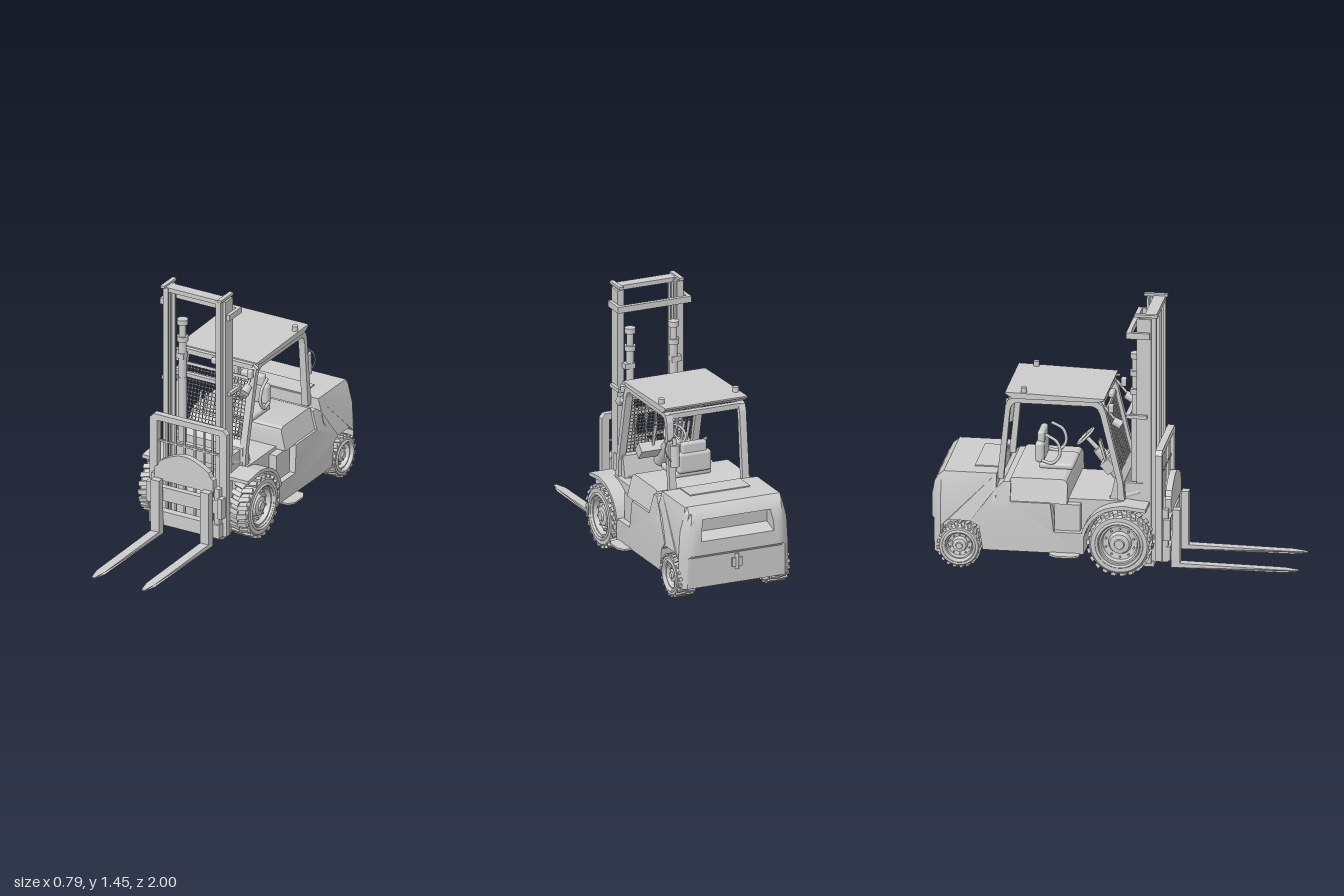
import * as THREE from 'three';
import { mergeGeometries, toCreasedNormals } from 'three/addons/utils/BufferGeometryUtils.js';
import { RoundedBoxGeometry } from 'three/addons/geometries/RoundedBoxGeometry.js';

const grey = new THREE.MeshStandardMaterial({ color: 0xcccccc });
const SIDES = [1, -1];

export function createModel() {
  const model = new THREE.Group();
  const add = (name, geo, parent = model) => {
    const m = new THREE.Mesh(geo, grey);
    m.name = name;
    parent.add(m);
    return m;
  };
  const boxGeo = (w, h, d, x, y, z) => new THREE.BoxGeometry(w, h, d).translate(x, y, z);
  const box = (name, w, h, d, x, y, z, parent) => add(name, boxGeo(w, h, d, x, y, z), parent);
  const soft = (name, w, h, d, x, y, z, r = 0.015) =>
    add(name, new RoundedBoxGeometry(w, h, d, 3, r).translate(x, y, z));
  // Cylinder between two points
  const rod = (name, a, b, r, r2 = r, seg = 20) => {
    const p = new THREE.Vector3(...a), q = new THREE.Vector3(...b), d = q.clone().sub(p);
    const m = add(name, new THREE.CylinderGeometry(r2, r, d.length(), seg));
    m.position.copy(p).add(q).multiplyScalar(0.5);
    m.quaternion.setFromUnitVectors(new THREE.Vector3(0, 1, 0), d.normalize());
    return m;
  };
  const tube = (name, pts, r, closed = false) => add(name, new THREE.TubeGeometry(
    new THREE.CatmullRomCurve3(pts.map((p) => new THREE.Vector3(...p)), closed), 32, r, 8, closed));
  const toShape = (pts) => new THREE.Shape(pts.map((p) => new THREE.Vector2(...p)));
  // Side profile of [z, y] points extruded from x0 to x1, with an optional vertex rule
  const profile = (name, pts, x0, x1, rule, steps = 1) => {
    const g = new THREE.ExtrudeGeometry(toShape(pts), { depth: x1 - x0, bevelEnabled: false, steps });
    g.rotateY(-Math.PI / 2).translate(x1, 0, 0);
    if (!rule) return add(name, g);
    const p = g.attributes.position, v = new THREE.Vector3();
    for (let i = 0; i < p.count; i++) {
      rule(v.fromBufferAttribute(p, i));
      p.setXYZ(i, v.x, v.y, v.z);
    }
    return add(name, toCreasedNormals(g, 0.5));
  };
  const bothSides = (name, pts, x0, x1, rule, steps) => {
    profile(name + 'Left', pts, x0, x1, rule, steps);
    profile(name + 'Right', pts, -x1, -x0, rule, steps);
  };
  // Body sides lean in above the waist, rear corners are rounded in plan
  const bodyRule = (v) => {
    const t = Math.max(0, Math.abs(v.x) - 0.25) / 0.075;
    v.z = Math.max(v.z, -1 + 0.055 * t * t);
    v.x *= 1 - 0.13 * THREE.MathUtils.clamp((v.y - 0.37) / 0.165, 0, 1);
  };

  // Wheels: lathed tyre and dished rim, staggered lugs, bolts
  const wheel = (name, s, x, y, z, R, w, lugs) => {
    const g = new THREE.Group();
    g.name = name;
    g.position.set(s * x, y, z);
    g.rotation.z = -s * Math.PI / 2;
    const h = w / 2;
    const pts = [[0, -h], [0.86 * R, -h], [0.94 * R, -h + 0.014], [0.94 * R, h - 0.014], [0.87 * R, h],
      [0.64 * R, h], [0.62 * R, h - 0.012], [0.57 * R, h - 0.012], [0.53 * R, h - 0.04], [0.36 * R, h - 0.045],
      [0.3 * R, h - 0.018], [0.16 * R, h - 0.014], [0.14 * R, h - 0.004], [0, h - 0.004]];
    add('tyreAndRim', toCreasedNormals(
      new THREE.LatheGeometry(pts.map((p) => new THREE.Vector2(...p)), 48), 0.5), g);
    const tread = [], bolts = [];
    for (let i = 0; i < lugs * 2; i++) {
      const e = i % 2 ? 1 : -1;
      tread.push(new THREE.BoxGeometry(0.09 * R, h * 1.04, 0.15 * R).rotateX(e * 0.25)
        .translate(0.955 * R, e * h * 0.47, 0).rotateY(i * Math.PI / lugs));
    }
    for (let i = 0; i < 10; i++) {
      bolts.push(new THREE.CylinderGeometry(0.035 * R, 0.035 * R, 0.02, 6)
        .translate(0.45 * R, h - 0.038, 0).rotateY(i * Math.PI / 5));
    }
    add('tread', mergeGeometries(tread), g);
    add('bolts', mergeGeometries(bolts), g);
    add('rimRing', new THREE.TorusGeometry(0.7 * R, 0.008, 6, 40).rotateX(Math.PI / 2).translate(0, h, 0), g);
    model.add(g);
  };
  for (const s of SIDES) {
    wheel('frontWheel', s, 0.283, 0.178, 0.04, 0.178, 0.12, 22);
    wheel('rearWheel', s, 0.278, 0.122, -0.84, 0.121, 0.11, 20);
  }
  rod('frontAxle', [-0.25, 0.178, 0.04], [0.25, 0.178, 0.04], 0.05);
  rod('rearAxle', [-0.25, 0.122, -0.84], [0.25, 0.122, -0.84], 0.035);

  // Chassis, steps and floor
  profile('chassis', [[-0.34, 0.39], [-0.32, 0.23], [-0.155, 0.23], [-0.155, 0.11], [-0.71, 0.11], [-0.73, 0.24],
    [-0.77, 0.28], [-0.64, 0.46], [-0.6, 0.495], [-0.56, 0.495], [-0.56, 0.39]], -0.33, 0.33, bodyRule, 1);
  profile('floor', [[0.05, 0.4], [-0.34, 0.4], [-0.34, 0.2], [-0.155, 0.2], [-0.12, 0.3], [0.05, 0.37]], -0.25, 0.25);
  profile('cowl', [[0.06, 0.34], [0.05, 0.5], [0.02, 0.53], [0.0, 0.52], [-0.03, 0.39]], -0.22, 0.22);
  for (const s of SIDES) {
    box('stepRiser', 0.06, 0.15, 0.14, s * 0.265, 0.305, -0.25);
    const step = toShape([[0.3, -0.34], [0.37, -0.34], [0.395, -0.3], [0.395, -0.21], [0.37, -0.175], [0.3, -0.175]]);
    const g = new THREE.ExtrudeGeometry(step, { depth: 0.01, bevelEnabled: false }).rotateX(Math.PI / 2);
    const plate = add('stepPlate', g);
    plate.position.y = 0.115;
    if (s < 0) { plate.rotation.z = Math.PI; plate.position.y = 0.105; }
  }

  // Front mudguards following the wheel
  const arc = (r, a0, a1, n) => Array.from({ length: n + 1 }, (_, i) => {
    const a = a0 + (a1 - a0) * i / n;
    return [0.04 + r * Math.cos(a), 0.178 + r * Math.sin(a)];
  });
  bothSides('mudguard', [[0.185, 0.365], [0.185, 0.385], [0.06, 0.4], ...arc(0.215, 1.7, 2.95, 10),
    ...arc(0.195, 2.95, 1.7, 10), [0.06, 0.377]], 0.2, 0.335);

  // Seat hood
  profile('seatHood', [[-0.25, 0.385], [-0.25, 0.485], [-0.258, 0.505], [-0.275, 0.515], [-0.55, 0.515],
    [-0.565, 0.508], [-0.57, 0.49], [-0.57, 0.385]], -0.315, 0.315, bodyRule, 1);

  // Counterweight: a centre with the rear recess, and sides with wheel arches
  profile('counterweightCentre', [[-0.64, 0.535], [-0.93, 0.535], [-0.965, 0.505], [-0.985, 0.47], [-0.93, 0.455],
    [-0.92, 0.38], [-1, 0.35], [-1, 0.27], [-0.985, 0.255], [-0.98, 0.08], [-0.94, 0.08], [-0.93, 0.11],
    [-0.7, 0.11], [-0.64, 0.3]], -0.22, 0.22, bodyRule);
  bothSides('counterweightSide', [[-0.64, 0.535], [-0.93, 0.535], [-0.965, 0.505], [-0.985, 0.47], [-1, 0.4],
    [-1, 0.27], [-0.985, 0.255], [-0.98, 0.08], [-0.94, 0.08], [-0.94, 0.235], [-0.9, 0.27], [-0.78, 0.27],
    [-0.735, 0.245], [-0.64, 0.4]], 0.22, 0.327, bodyRule, 6);
  box('archInner', 0.4, 0.16, 0.22, 0, 0.19, -0.83);
  box('hoodPanel', 0.36, 0.008, 0.13, 0, 0.537, -0.71);
  box('towHitch', 0.06, 0.05, 0.03, 0, 0.2, -0.98);
  rod('towPin', [0, 0.16, -0.99], [0, 0.25, -0.99], 0.01);

  // Overhead guard
  bothSides('guardFrame', [[0.055, 0.4], [0.045, 0.5], [-0.05, 0.9], [-0.065, 0.935], [-0.1, 0.957], [-0.55, 0.957],
    [-0.585, 0.945], [-0.6, 0.91], [-0.645, 0.49], [-0.61, 0.49], [-0.575, 0.88], [-0.565, 0.915], [-0.545, 0.928],
    [-0.12, 0.928], [-0.095, 0.915], [-0.08, 0.885], [0.015, 0.49], [0.015, 0.4]], 0.198, 0.238);
  profile('roofPlate', [[-0.055, 0.968], [-0.055, 0.976], [-0.6, 0.99], [-0.6, 0.982], [-0.56, 0.955], [-0.1, 0.955]],
    -0.247, 0.247);
  box('roofFrontBar', 0.42, 0.03, 0.035, 0, 0.935, -0.085);
  box('roofRearBar', 0.42, 0.03, 0.035, 0, 0.935, -0.57);
  soft('roofLamp', 0.07, 0.035, 0.03, 0, 0.93, -0.05, 0.01);
  for (const s of SIDES) {
    rod('beacon', [s * 0.222, 0.98, -0.5], [s * 0.222, 1.015, -0.5], 0.017);
    rod('workLampArm', [s * 0.22, 0.93, -0.06], [s * 0.22, 0.85, 0.005], 0.007);
    rod('workLamp', [s * 0.22, 0.85, -0.01], [s * 0.22, 0.825, 0.035], 0.022, 0.026);
    soft('sideLamp', 0.03, 0.05, 0.03, s * 0.225, 0.92, -0.02, 0.008);
    rod('mirrorArm', [s * 0.22, 0.955, -0.07], [s * 0.26, 0.945, -0.05], 0.007);
  }

  // Wire screen behind the mast
  const wires = [];
  for (let i = 0; i <= 18; i++) wires.push(boxGeo(0.004, 0.37, 0.004, -0.19 + i * 0.38 / 18, 0.185, 0));
  for (let i = 0; i <= 17; i++) wires.push(boxGeo(0.38, 0.004, 0.004, 0, i * 0.37 / 17, 0));
  for (const y of [0, 0.37]) wires.push(boxGeo(0.4, 0.016, 0.012, 0, y, 0));
  const screen = add('wireScreen', mergeGeometries(wires));
  screen.position.set(0, 0.51, 0.025);
  screen.rotation.x = -0.24;

  // Seat and controls
  soft('seatCushion', 0.22, 0.035, 0.19, 0, 0.53, -0.34);
  soft('seatBack', 0.2, 0.12, 0.05, 0, 0.6, -0.435, 0.02);
  soft('headrest', 0.15, 0.07, 0.04, 0, 0.68, -0.43);
  for (const s of SIDES) tube('armrest', [[s * 0.105, 0.56, -0.42], [s * 0.11, 0.55, -0.36], [s * 0.11, 0.6, -0.32],
    [s * 0.11, 0.67, -0.335], [s * 0.105, 0.71, -0.4]], 0.009);
  rod('steeringColumn', [0, 0.47, -0.01], [0, 0.61, -0.13], 0.04, 0.03);
  rod('steeringShaft', [0, 0.6, -0.12], [0, 0.67, -0.19], 0.012);
  const steering = add('steeringWheel', new THREE.TorusGeometry(0.06, 0.007, 8, 32));
  steering.position.set(0, 0.675, -0.195);
  steering.rotation.x = -2.36;
  for (const a of [0, 1, 2]) rod('steeringSpoke', [0, 0.67, -0.19], [0.058 * Math.cos(a * 2.09),
    0.675 + 0.041 * Math.sin(a * 2.09), -0.195 + 0.041 * Math.sin(a * 2.09)], 0.005);
  const dash = box('dashboard', 0.3, 0.07, 0.06, 0, 0.555, -0.05);
  dash.geometry.translate(0, -0.555, 0.05).rotateX(-0.7).translate(0, 0.555, -0.05);
  for (const x of [-0.1, -0.13, 0.07]) rod('lever', [x, 0.56, -0.06], [x, 0.7, -0.1], 0.006, 0.009);

  // Fire extinguisher on the left rear pillar
  rod('extinguisher', [0.21, 0.67, -0.65], [0.21, 0.79, -0.64], 0.026);
  rod('extinguisherValve', [0.21, 0.79, -0.64], [0.21, 0.83, -0.635], 0.011);
  tube('extinguisherHose', [[0.21, 0.82, -0.635], [0.25, 0.81, -0.635], [0.265, 0.77, -0.64], [0.25, 0.72, -0.645],
    [0.23, 0.7, -0.65]], 0.004);

  // Mast: nested channels, lift cylinders, cross members
  const channel = (s, x0, x1, z0, z1, t, y0, y1, name) => {
    const xm = (x0 + x1) / 2, h = y1 - y0, y = (y0 + y1) / 2;
    add(name, mergeGeometries([boxGeo(t, h, z1 - z0, s * (x1 - t / 2), y, (z0 + z1) / 2),
      boxGeo(x1 - x0, h, t, s * xm, y, z0 + t / 2), boxGeo(x1 - x0, h, t, s * xm, y, z1 - t / 2)]));
  };
  for (const s of SIDES) {
    channel(s, 0.158, 0.198, 0.115, 0.195, 0.013, 0.03, 1.43, 'outerRail');
    channel(s, 0.15, 0.182, 0.135, 0.22, 0.012, 0.03, 1.44, 'innerRail');
    box('railFoot', 0.045, 0.03, 0.09, s * 0.165, 0.025, 0.165);
    box('railCap', 0.025, 0.015, 0.13, s * 0.18, 1.445, 0.165);
    rod('liftCylinder', [s * 0.13, 0.08, 0.1], [s * 0.13, 0.87, 0.1], 0.025);
    rod('liftCylinderUpper', [s * 0.13, 0.87, 0.1], [s * 0.13, 1.09, 0.1], 0.022);
    rod('cylinderCollar', [s * 0.13, 1.085, 0.1], [s * 0.13, 1.115, 0.1], 0.031);
    rod('liftRod', [s * 0.13, 1.1, 0.1], [s * 0.13, 1.19, 0.1], 0.02);
    rod('liftRodHead', [s * 0.13, 1.185, 0.1], [s * 0.13, 1.215, 0.1], 0.03);
    box('cylinderClamp', 0.06, 0.03, 0.05, s * 0.14, 1.0, 0.1);
    box('upperBarEnd', 0.02, 0.035, 0.13, s * 0.21, 1.338, 0.125);
    box('midBarEnd', 0.02, 0.02, 0.115, s * 0.208, 0.873, 0.117);
    box('mastBracket', 0.03, 0.1, 0.1, s * 0.19, 0.44, 0.1);
    rod('tiltCylinder', [s * 0.19, 0.44, 0.13], [s * 0.19, 0.39, -0.03], 0.018);
  }
  box('mastTopBar', 0.36, 0.025, 0.065, 0, 1.43, 0.185);
  box('mastUpperBar', 0.44, 0.035, 0.025, 0, 1.338, 0.072);
  box('mastMiddleBar', 0.42, 0.022, 0.025, 0, 0.873, 0.068);
  box('mastLowerBar', 0.34, 0.08, 0.03, 0, 0.45, 0.125);
  box('mastFootBar', 0.34, 0.09, 0.04, 0, 0.11, 0.13);

  // Carriage and load backrest
  const front = (name, pts, z, depth, hole) => {
    const s = toShape(pts);
    if (hole) s.holes.push(new THREE.Path(hole.map((p) => new THREE.Vector2(...p))));
    add(name, new THREE.ExtrudeGeometry(s, { depth, bevelEnabled: false }).translate(0, 0, z));
  };
  front('backrestFrame', [[-0.242, 0.06], [-0.195, 0.06], [-0.195, 0.655], [0.195, 0.655], [0.195, 0.06],
    [0.242, 0.06], [0.242, 0.665], [0.22, 0.69], [-0.22, 0.69], [-0.242, 0.665]], 0.222, 0.038);
  for (const x of [-0.145, -0.09, -0.032, 0.032, 0.09, 0.145]) box('backrestBar', 0.01, 0.56, 0.012, x, 0.39, 0.24);
  box('backrestCrossBar', 0.39, 0.01, 0.012, 0, 0.53, 0.24);
  const crown = Array.from({ length: 13 }, (_, i) => [0.155 - i * 0.31 / 12, 0.44 + 0.06 * Math.sin(i * Math.PI / 12)]);
  front('carriageUpperPlate', [[-0.185, 0.325], [0.185, 0.325], [0.185, 0.4], [0.168, 0.41], ...crown,
    [-0.168, 0.41], [-0.185, 0.4]], 0.268, 0.035);
  box('carriageMiddlePlate', 0.39, 0.08, 0.035, 0, 0.24, 0.275);
  box('carriageLowerPlate', 0.44, 0.08, 0.045, 0, 0.1, 0.28);
  for (const s of SIDES) {
    box('carriageSide', 0.03, 0.3, 0.05, s * 0.2, 0.2, 0.265);
    box('carriageRoller', 0.03, 0.12, 0.04, s * 0.225, 0.24, 0.285);
  }

  // Forks with pointed tips
  for (const s of SIDES) {
    profile('fork', [[0.3, 0.01], [0.92, 0.013], [1, 0.017], [1, 0.023], [0.92, 0.027], [0.35, 0.035], [0.35, 0.34],
      [0.31, 0.34]], s * 0.157 - 0.026, s * 0.157 + 0.026, (v) => {
      if (v.z > 0.95) v.x = s * 0.157 + (v.x - s * 0.157) * 0.35;
    });
  }
  return model;
}
